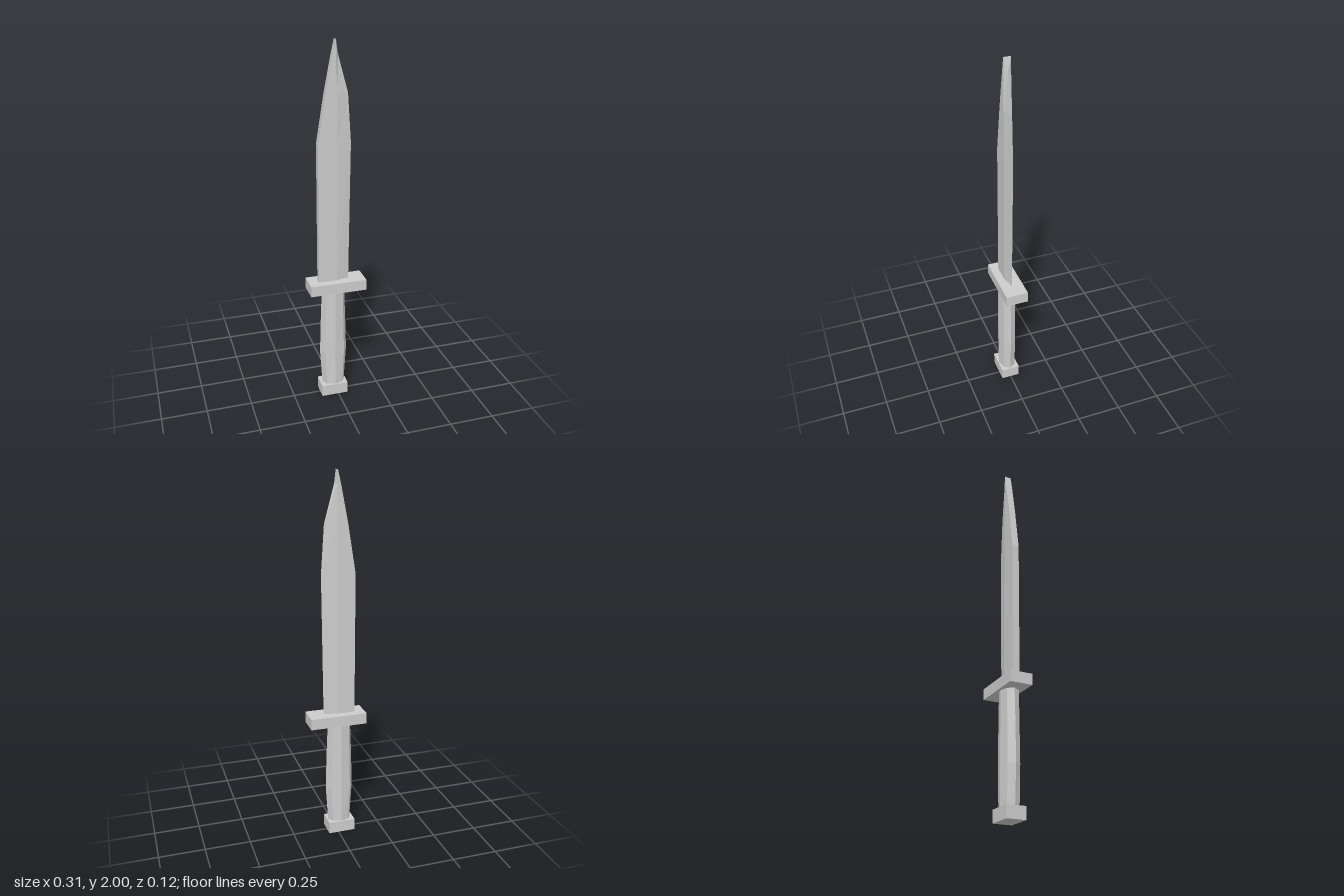
import * as THREE from 'three';

// Flat-shaded skin over a stack of cross-sections (counterclockwise seen from above)
function loft(rings) {
  const pos = [];
  const tri = (a, b, c) => {
    const ab = new THREE.Vector3().subVectors(b, a);
    const ac = new THREE.Vector3().subVectors(c, a);
    if (ab.cross(ac).length() < 1e-9) return; // skip collapsed corners
    for (const p of [a, b, c]) pos.push(p.x, p.y, p.z);
  };
  const n = rings[0].length;
  for (let r = 0; r < rings.length - 1; r++) {
    const lo = rings[r], hi = rings[r + 1];
    for (let i = 0; i < n; i++) {
      const j = (i + 1) % n;
      tri(lo[i], lo[j], hi[j]);
      tri(lo[i], hi[j], hi[i]);
    }
  }
  // end caps
  const bottom = rings[0], top = rings[rings.length - 1];
  for (let i = 1; i < n - 1; i++) {
    tri(top[0], top[i], top[i + 1]);
    tri(bottom[0], bottom[i + 1], bottom[i]);
  }
  const geo = new THREE.BufferGeometry();
  geo.setAttribute('position', new THREE.Float32BufferAttribute(pos, 3));
  geo.computeVertexNormals();
  return geo;
}

export function createModel() {
  const group = new THREE.Group();
  const steel = new THREE.MeshStandardMaterial({ color: 0xcccccc });
  steel.name = 'light grey';

  const add = (name, geo, x = 0, y = 0, z = 0) => {
    const mesh = new THREE.Mesh(geo, steel);
    mesh.name = name;
    mesh.position.set(x, y, z);
    group.add(mesh);
  };

  // Pommel block and crossguard
  add('pommel', new THREE.BoxGeometry(0.15, 0.066, 0.104), -0.02, 0.033, 0);
  add('guard', new THREE.BoxGeometry(0.312, 0.06, 0.123), 0, 0.685, 0);

  // Octagonal grip, swelling sideways below the middle: [y, half width]
  const gripRings = [[0.06, 0.064], [0.27, 0.077], [0.48, 0.071], [0.66, 0.064]].map(([y, rx]) =>
    Array.from({ length: 8 }, (_, i) => {
      const t = (i * Math.PI) / 4;
      return new THREE.Vector3(-0.017 + rx * Math.sin(t), y, 0.048 * Math.cos(t));
    }));
  add('grip', loft(gripRings));

  // Blade with a flat spine and a bevelled edge: [y, spine x, bevel x, edge x, edge y]
  const h = 0.019;
  const bladeRings = [
    [0.70, -0.1, 0, 0.07, 0.70],
    [1.48, -0.1, 0, 0.08, 1.48],
    [1.735, -0.059, 0, 0.063, 1.735],
    [1.93, -0.021, -0.003, 0.01, 1.93],
    [2.0, -0.005, -0.005, 0.01, 1.93],
  ].map(([y, spine, bevel, edge, edgeY]) => [
    new THREE.Vector3(spine, y, h),
    new THREE.Vector3(bevel, y, h),
    new THREE.Vector3(edge, edgeY, 0),
    new THREE.Vector3(bevel, y, -h),
    new THREE.Vector3(spine, y, -h),
  ]);
  add('blade', loft(bladeRings));

  return group;
}
